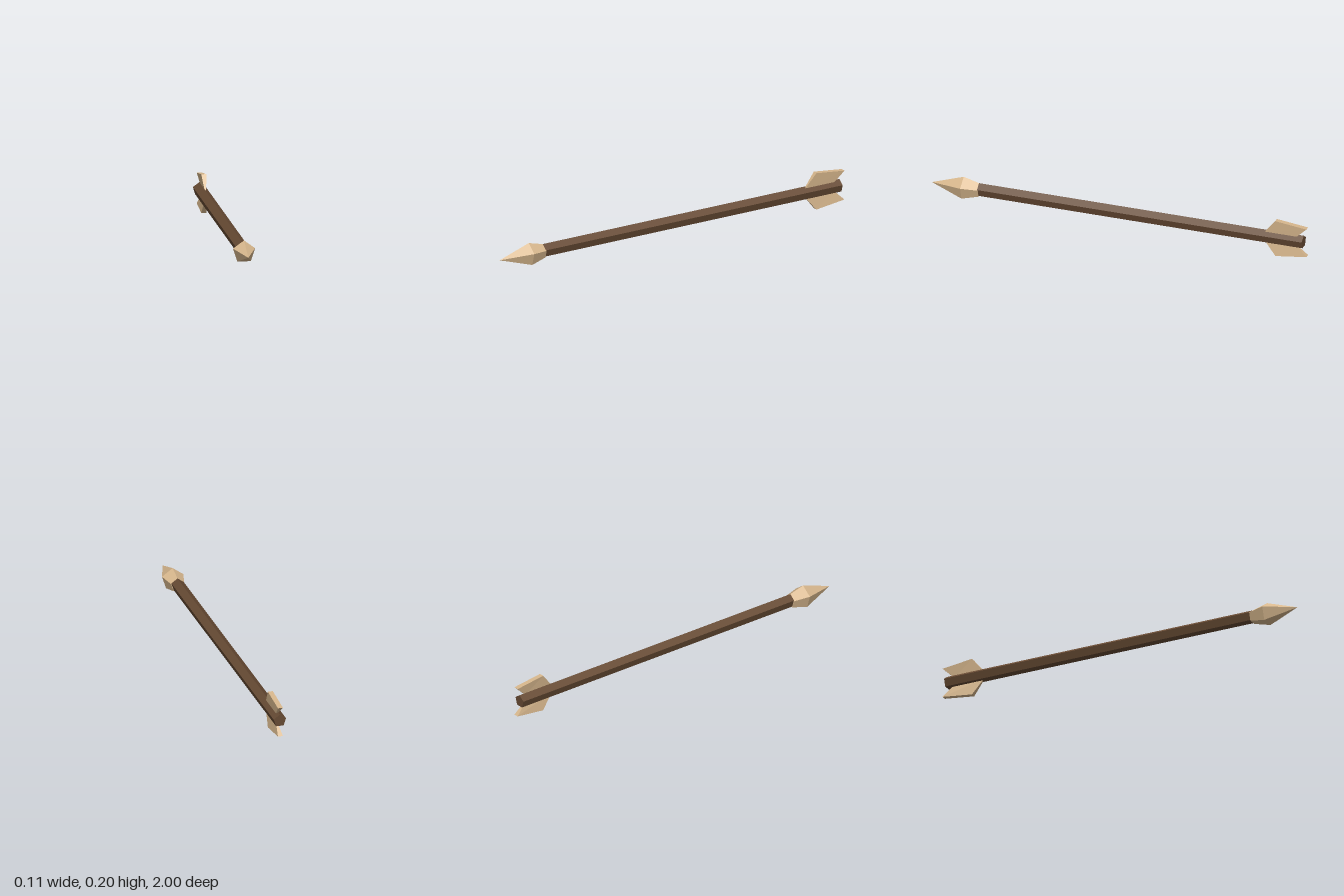
import * as THREE from 'three';

const wood = new THREE.MeshStandardMaterial({ color: 0x664a33 });
wood.name = 'dark wood';
const bone = new THREE.MeshStandardMaterial({ color: 0xd6b68c });
bone.name = 'pale bone';

// Faceted mesh: unshared vertices give one normal per face
function faceted(name, geometry, material) {
  const flat = geometry.toNonIndexed();
  flat.computeVertexNormals();
  const mesh = new THREE.Mesh(flat, material);
  mesh.name = name;
  return mesh;
}

// Five-sided solid along z with one edge on top; points are [radius, z]
function fiveSided(points, y) {
  const profile = points.map(([r, z]) => new THREE.Vector2(r, z));
  return new THREE.LatheGeometry(profile, 5, Math.PI).rotateX(Math.PI / 2).translate(0, y, 0);
}

// Swept-back fin, narrow at the shaft and thick at its outer edge; side is 1 (top) or -1 (bottom)
function finGeometry(side) {
  const middle = 0.0985;
  const geometry = new THREE.BoxGeometry(1, 1, 1);
  const p = geometry.attributes.position;
  for (let i = 0; i < p.count; i++) {
    const outer = p.getY(i) * side > 0;
    const front = p.getZ(i) > 0;
    const half = outer ? 0.013 : 0.003;
    const centre = outer ? (front ? 0.005 : 0.003) : 0.006;
    const rise = outer ? (front ? 0.0985 : 0.078) : 0.02;
    const z = outer ? (front ? -0.835 : -1) : (front ? -0.772 : -0.94);
    p.setXYZ(i, centre + Math.sign(p.getX(i)) * half, middle + side * rise, z);
  }
  return geometry;
}

export function createModel() {
  const arrow = new THREE.Group();
  arrow.name = 'arrow';

  // Shaft with closed ends
  arrow.add(faceted('shaft',
    fiveSided([[0, -0.98], [0.034, -0.98], [0.034, 0.75], [0, 0.75]], 0.097), wood));

  // Pointed head
  arrow.add(faceted('arrowhead',
    fiveSided([[0, 0.745], [0.036, 0.745], [0.059, 0.83], [0, 1]], 0.094), bone));

  // Tail fins
  arrow.add(faceted('topFin', finGeometry(1), bone));
  arrow.add(faceted('bottomFin', finGeometry(-1), bone));

  return arrow;
}
